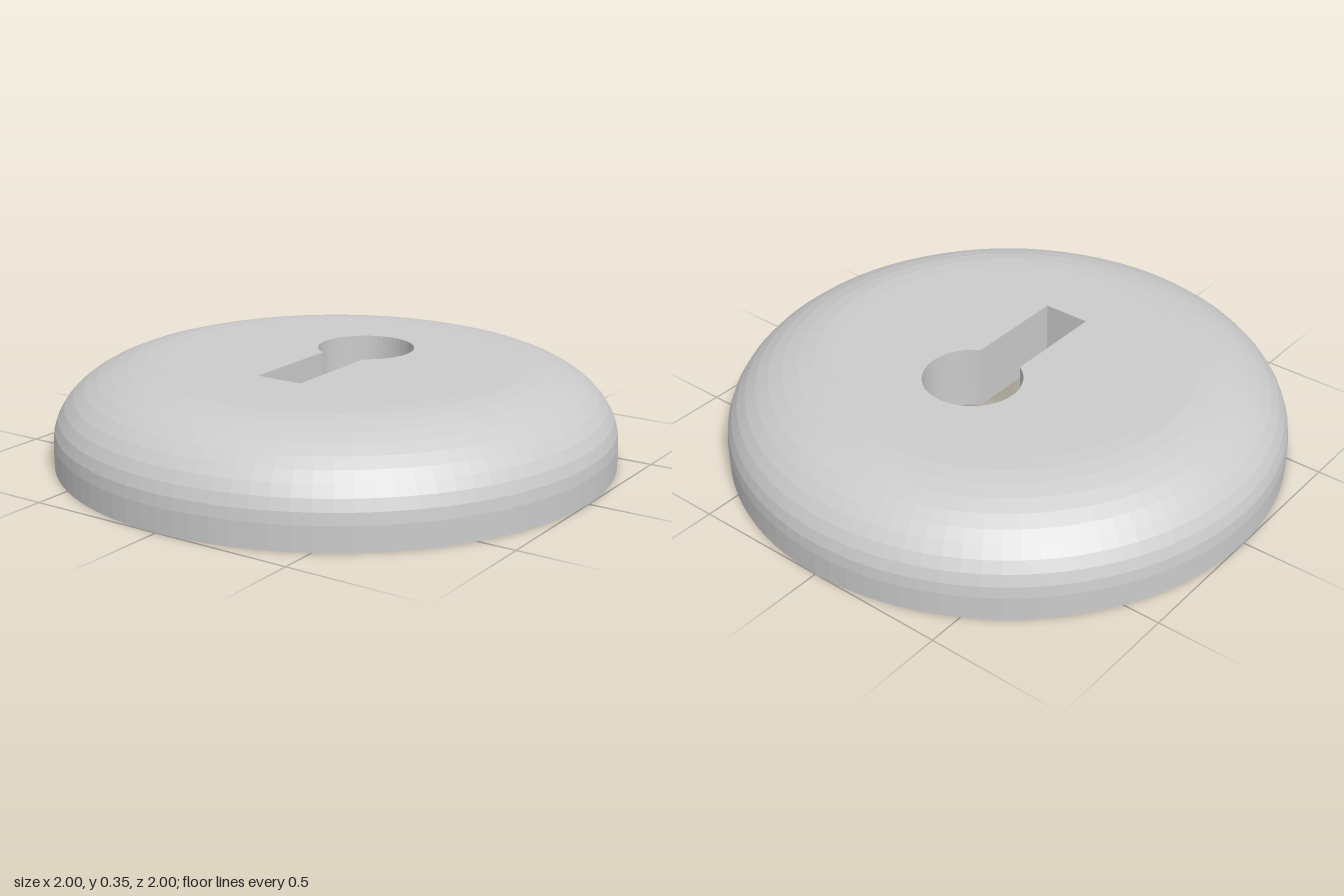
import * as THREE from 'three';

const SEGMENTS = 96;
const TOP = 0.347, CEILING = 0.113, SHOULDER = 0.087;
const FLAT_RADIUS = 0.62, RECESS_RADIUS = 0.935;

// Keyhole outline as [x, z]: round head at the back, straight slot to the front
function keyholePoints() {
  const r = 0.175, half = 0.088, cz = -0.195, slotEnd = 0.343;
  const start = Math.asin(half / r), steps = 48;
  const points = [];
  for (let i = 0; i <= steps; i++) {
    const a = start + (i / steps) * (2 * Math.PI - 2 * start);
    points.push([r * Math.sin(a), cz + r * Math.cos(a)]);
  }
  points.push([-half, slotEnd], [half, slotEnd]);
  return points;
}

// Flat disc pierced by the keyhole; side = 1 faces up, -1 faces down
function piercedDisc(radius, y, side) {
  const toShape = ([x, z]) => new THREE.Vector2(x, -side * z);
  const rim = [];
  for (let i = 0; i < SEGMENTS; i++) {
    const a = (i / SEGMENTS) * Math.PI * 2;
    rim.push([radius * Math.cos(a), radius * Math.sin(a)]);
  }
  const shape = new THREE.Shape(rim.map(toShape));
  shape.holes.push(new THREE.Path(keyholePoints().map(toShape)));
  return new THREE.ShapeGeometry(shape).rotateX(-side * Math.PI / 2).translate(0, y, 0);
}

// Vertical walls through the thickness of the plate
function keyholeWalls() {
  const points = keyholePoints(), positions = [];
  points.forEach(([x0, z0], i) => {
    const [x1, z1] = points[(i + 1) % points.length];
    positions.push(x0, CEILING, z0, x0, TOP, z0, x1, TOP, z1);
    positions.push(x0, CEILING, z0, x1, TOP, z1, x1, CEILING, z1);
  });
  const geometry = new THREE.BufferGeometry();
  geometry.setAttribute('position', new THREE.Float32BufferAttribute(positions, 3));
  geometry.computeVertexNormals();
  return geometry;
}

// Recess wall, bottom rim, short straight side and rounded shoulder
function shellGeometry() {
  const profile = [
    new THREE.Vector2(RECESS_RADIUS, CEILING),
    new THREE.Vector2(RECESS_RADIUS, 0),
    new THREE.Vector2(1, 0),
  ];
  for (let i = 0; i <= 10; i++) {
    const a = (i / 10) * Math.PI / 2;
    profile.push(new THREE.Vector2(
      FLAT_RADIUS + (1 - FLAT_RADIUS) * Math.cos(a),
      SHOULDER + (TOP - SHOULDER) * Math.sin(a)));
  }
  return new THREE.LatheGeometry(profile, SEGMENTS);
}

export function createModel() {
  const group = new THREE.Group();
  group.name = 'keyholeCover';
  const material = new THREE.MeshStandardMaterial({ color: 0xcccccc, flatShading: true });
  const wallMaterial = material.clone();
  wallMaterial.side = THREE.DoubleSide;

  const add = (name, geometry, mat = material) => {
    const mesh = new THREE.Mesh(geometry, mat);
    mesh.name = name;
    group.add(mesh);
  };
  add('roundedShell', shellGeometry());
  add('topFace', piercedDisc(FLAT_RADIUS, TOP, 1));
  add('recessCeiling', piercedDisc(RECESS_RADIUS, CEILING, -1));
  add('keyholeWalls', keyholeWalls(), wallMaterial);
  return group;
}
